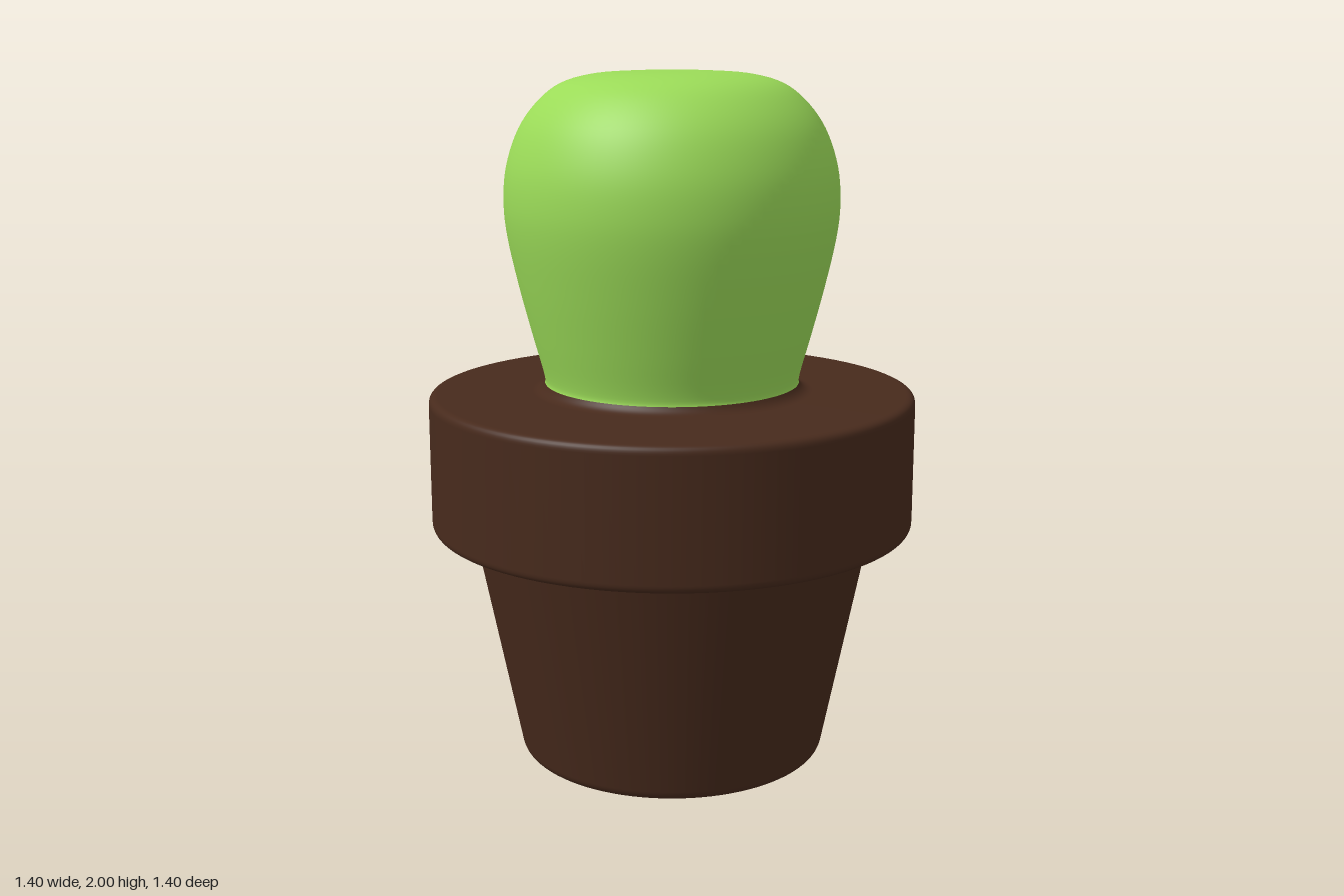
import * as THREE from 'three';

const SEGMENTS = 96;

// Rounds every inner corner of a [radius, height, rounding] outline
function roundedProfile(corners) {
  const pts = corners.map(([x, y]) => new THREE.Vector2(x, y));
  const path = new THREE.Path();
  path.moveTo(pts[0].x, pts[0].y);
  for (let i = 1; i < pts.length - 1; i++) {
    const p = pts[i], r = corners[i][2];
    const a = p.clone().add(pts[i - 1].clone().sub(p).setLength(r));
    const b = p.clone().add(pts[i + 1].clone().sub(p).setLength(r));
    path.lineTo(a.x, a.y);
    path.quadraticCurveTo(p.x, p.y, b.x, b.y);
  }
  const end = pts[pts.length - 1];
  path.lineTo(end.x, end.y);
  return path.getPoints(8);
}

function turned(name, profile, color) {
  const mesh = new THREE.Mesh(
    new THREE.LatheGeometry(profile, SEGMENTS),
    new THREE.MeshStandardMaterial({ color })
  );
  mesh.name = name;
  return mesh;
}

export function createModel() {
  const group = new THREE.Group();
  group.name = 'pottedCactus';

  // Tapered pot with a thick rim and a filled top rising slightly at the stem
  group.add(turned('pot', roundedProfile([
    [0, 0],
    [0.3, 0.005, 0.05],
    [0.445, 0.01, 0.03],
    [0.583, 0.7, 0.04],
    [0.7, 0.7, 0.025],
    [0.7, 1.092, 0.025],
    [0.38, 1.097, 0.025],
    [0.355, 1.14],
  ]), 0x472a1c));

  // Bulbous stem, widest near the top with a flattened crown
  const outline = new THREE.SplineCurve([
    [0.385, 1.09], [0.368, 1.115], [0.37, 1.15], [0.4, 1.26], [0.436, 1.4],
    [0.466, 1.54], [0.475, 1.64], [0.465, 1.74], [0.43, 1.84], [0.376, 1.915],
    [0.31, 1.965], [0.22, 1.99], [0.11, 1.998], [0, 2],
  ].map(([x, y]) => new THREE.Vector2(x, y)));
  const profile = outline.getPoints(60);
  profile[profile.length - 1].x = 0;
  group.add(turned('cactus', profile, 0x9bdb58));

  return group;
}
